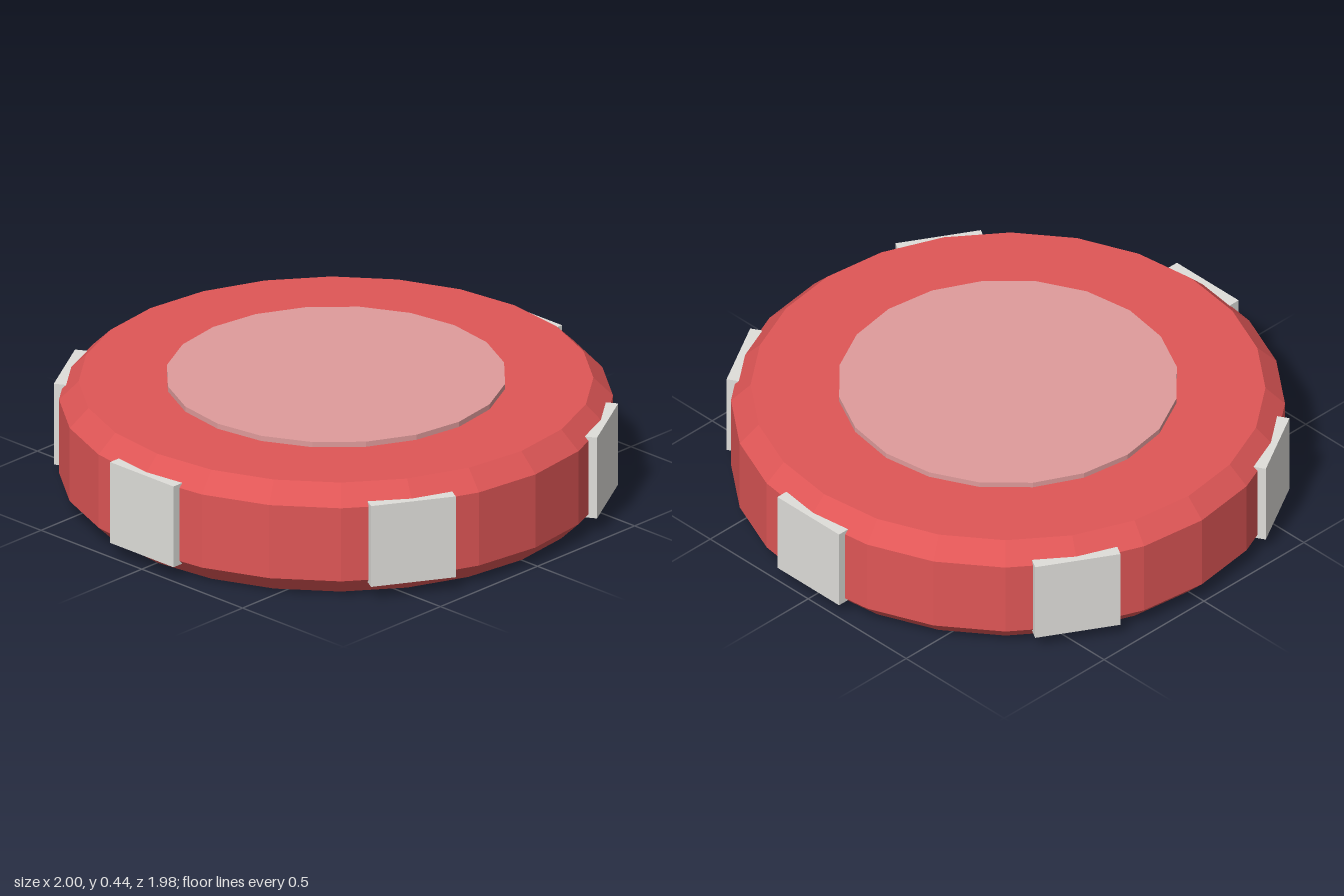
import * as THREE from 'three';

const H = 0.425; // thickness of the chip body

function flat(geometry) {
  const g = geometry.index ? geometry.toNonIndexed() : geometry;
  g.computeVertexNormals();
  return g;
}

export function createModel() {
  const red = new THREE.MeshStandardMaterial({ color: 0xdf5656 });
  red.name = 'red';
  const pink = new THREE.MeshStandardMaterial({ color: 0xdf9b9b });
  pink.name = 'pink';
  const paleGrey = new THREE.MeshStandardMaterial({ color: 0xdfdeda });
  paleGrey.name = 'paleGrey';

  const model = new THREE.Group();
  model.name = 'chip';
  const add = (name, geometry, material, parent = model) => {
    const mesh = new THREE.Mesh(geometry, material);
    mesh.name = name;
    parent.add(mesh);
    return mesh;
  };

  // Faceted disc with bevelled rims
  const profile = [[0, 0], [0.92, 0], [0.99, 0.07], [0.99, H - 0.07], [0.92, H], [0, H]]
    .map(([r, y]) => new THREE.Vector2(r, y));
  add('body', flat(new THREE.LatheGeometry(profile, 24)), red);

  // Raised centre label
  const label = add('centreDisc', flat(new THREE.CylinderGeometry(0.61, 0.61, 0.04, 20)), pink);
  label.position.y = H;

  // Six edge inserts around the rim
  const inserts = new THREE.Group();
  inserts.name = 'edgeInserts';
  model.add(inserts);
  const block = new THREE.BoxGeometry(0.045, 0.315, 0.315);
  for (let i = 0; i < 6; i++) {
    const a = (i * Math.PI) / 3;
    const insert = add('edgeInsert' + (i + 1), block, paleGrey, inserts);
    insert.position.set(0.9775 * Math.cos(a), H / 2, -0.9775 * Math.sin(a));
    insert.rotation.y = a;
  }
  return model;
}
